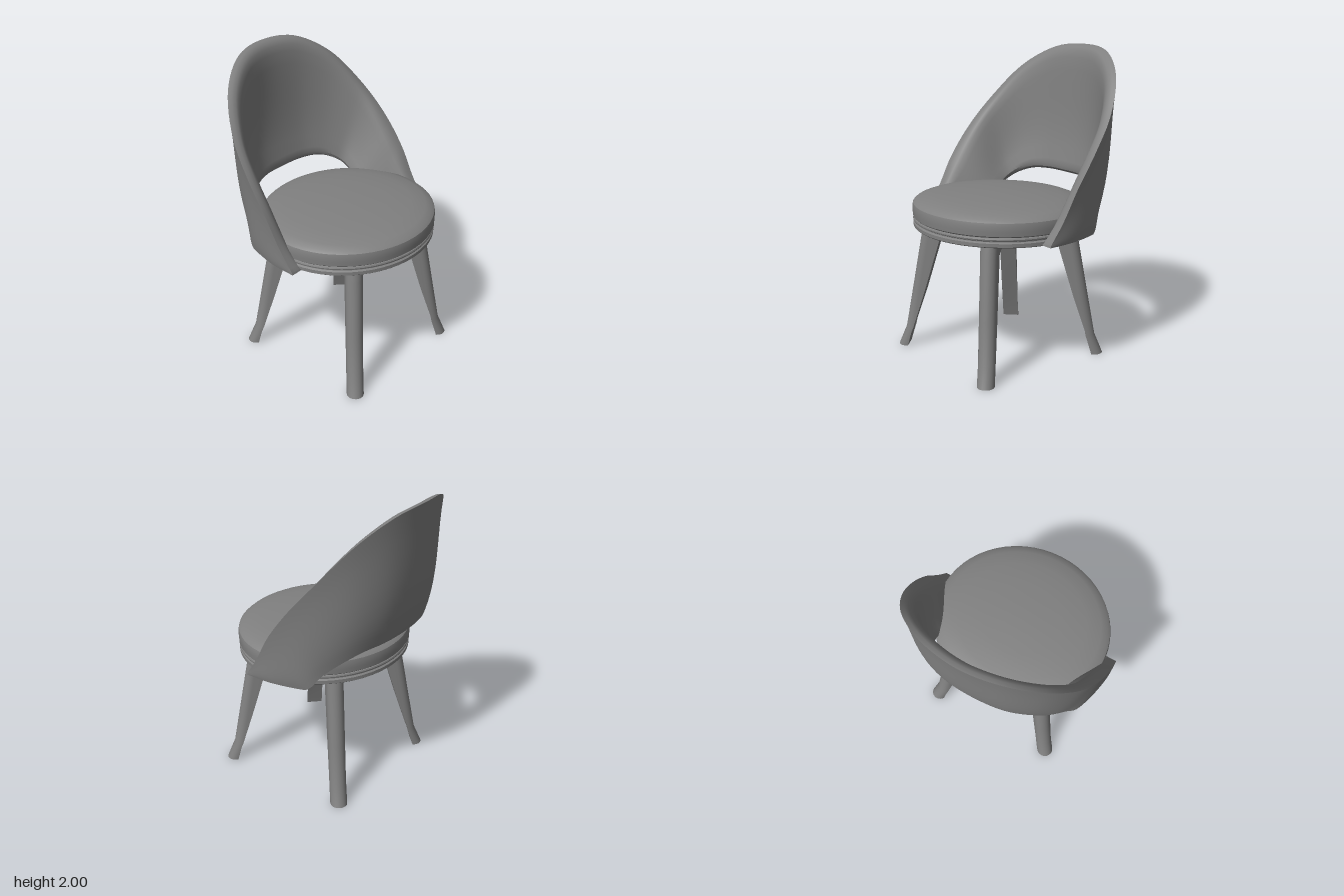
import * as THREE from 'three';
import { toCreasedNormals } from 'three/addons/utils/BufferGeometryUtils.js';

const material = new THREE.MeshStandardMaterial({ color: 0x808080 });
const SEAT_Z = 0.09;
const SHELL_BOTTOM = 0.87;

function addMesh(parent, name, geometry) {
  const mesh = new THREE.Mesh(geometry, material);
  mesh.name = name;
  parent.add(mesh);
  return mesh;
}

// Skin a row of closed loops (counter-clockwise about the direction of travel) and cap both ends
function loft(rings) {
  const n = rings[0].length;
  const last = rings.length - 1;
  const pos = [];
  const index = [];
  rings.forEach((ring) => ring.forEach((p) => pos.push(p.x, p.y, p.z)));
  for (let i = 0; i < last; i++) {
    for (let j = 0; j < n; j++) {
      const a = i * n + j;
      const b = i * n + ((j + 1) % n);
      index.push(a, b, b + n, a, b + n, a + n);
    }
  }
  for (const i of [0, last]) {
    const c = new THREE.Vector3();
    rings[i].forEach((p) => c.addScaledVector(p, 1 / n));
    const centre = pos.length / 3;
    pos.push(c.x, c.y, c.z);
    for (let j = 0; j < n; j++) {
      const a = i * n + j;
      const b = i * n + ((j + 1) % n);
      index.push(centre, i ? a : b, i ? b : a);
    }
  }
  const geometry = new THREE.BufferGeometry();
  geometry.setAttribute('position', new THREE.Float32BufferAttribute(pos, 3));
  geometry.setIndex(index);
  return toCreasedNormals(geometry, 0.6);
}

// Smooth curve through half a path, starting at the centre of the back, and its mirror image
function mirroredCurve(half) {
  const right = half.slice(1).reverse().map(([x, y, z]) => new THREE.Vector3(-x, y, z));
  const left = half.map((p) => new THREE.Vector3(...p));
  return new THREE.CatmullRomCurve3([...right, ...left]);
}

// Wraparound backrest: a padded shell between its upper rim and its lower edge
function backrestGeometry() {
  const rim = mirroredCurve([
    [0, 2, -0.642], [0.252, 1.971, -0.6], [0.468, 1.838, -0.481], [0.607, 1.615, -0.31],
    [0.66, 1.41, -0.142], [0.67, 1.2, 0.01], [0.664, 1.02, 0.11], [0.655, 0.885, 0.2],
  ]);
  const edge = mirroredCurve([
    [0, 1.128, -0.53], [0.2, 1.127, -0.515], [0.34, 1.115, -0.468], [0.45, 1.065, -0.395],
    [0.53, 0.975, -0.295], [0.585, 0.87, -0.205], [0.645, 0.87, 0.02], [0.655, 0.87, 0.205],
  ]);
  // Section: [height fraction, depth below the outer face], up the outside, over the
  // rounded rim, down the inside and out again under the rounded lower lip
  const section = [];
  for (let j = 0; j <= 10; j++) section.push([j / 10, 0]);
  section.push([0.996, 0.025], [0.98, 0.047], [0.95, 0.06]);
  for (let j = 9; j >= 1; j--) section.push([j / 10, 0.084 - 0.0018 * j]);
  section.push([0.06, 0.08], [0.03, 0.066], [0.01, 0.04]);

  const rings = [];
  const columns = 84;
  for (let i = 0; i <= columns; i++) {
    const top = rim.getPoint(i / columns);
    const bottom = edge.getPoint(i / columns);
    bottom.y = Math.max(bottom.y, SHELL_BOTTOM);
    const bulge = 0.035 * (top.y - bottom.y);
    // The padding thickens low down on each side, where it meets the cushion
    const station = Math.abs((2 * i) / columns - 1) * 7;
    const padding = station > 3 ? 1.2 * Math.sin(((station - 3) / 4) * Math.PI) ** 2 : 0;
    rings.push(section.map(([v, depth]) => {
      const p = bottom.clone().lerp(top, v);
      const out = new THREE.Vector3(p.x, 0, Math.min(p.z, 0)).normalize();
      const thickness = depth * (1 + padding * (1 - v * v));
      return p.addScaledVector(out, bulge * 6.75 * v * (1 - v) ** 2 - thickness);
    }));
  }
  return loft(rings);
}

// Leg, flat inside and rounded outside, kicking out at the foot; it leans out along +z
function legGeometry() {
  const w = 0.055;
  const stations = [
    [0, 0.622, 0.691], [0.13, 0.587, 0.637], [0.4, 0.496, 0.588],
    [0.78, 0.383, 0.52], [0.868, 0.36, 0.503],
  ];
  return loft(stations.map(([y, inner, outer]) => {
    const ring = [];
    for (let k = 0; k <= 12; k++) {
      const a = -Math.PI / 2 + (k / 12) * Math.PI;
      ring.push(new THREE.Vector3(w * Math.sin(a), y, outer - w + w * Math.cos(a)));
    }
    ring.push(new THREE.Vector3(w, y, inner), new THREE.Vector3(-w, y, inner));
    return ring;
  }));
}

// Slightly oval turned part of the seat
function addTurned(parent, name, profile) {
  const points = profile.map(([r, y]) => new THREE.Vector2(r, y));
  const mesh = addMesh(parent, name, toCreasedNormals(new THREE.LatheGeometry(points, 56), 0.6));
  mesh.scale.x = 1.078;
  mesh.position.z = SEAT_Z;
}

export function createModel() {
  const chair = new THREE.Group();
  chair.name = 'chair';

  addMesh(chair, 'backrest', backrestGeometry());

  // Seat: board, grooved band and domed cushion
  addTurned(chair, 'seatBase', [
    [0, 0.862], [0.54, 0.864], [0.547, 0.87], [0.547, 0.892], [0.536, 0.899],
    [0.536, 0.903], [0.547, 0.909], [0.549, 0.917], [0.546, 0.925], [0.536, 0.93], [0, 0.93],
  ]);
  addTurned(chair, 'seatCushion', [
    [0, 0.928], [0.54, 0.928], [0.549, 0.936], [0.551, 0.965], [0.551, 1], [0.547, 1.018],
    [0.53, 1.033], [0.49, 1.049], [0.4, 1.066], [0.25, 1.079], [0.1, 1.085], [0, 1.086],
  ]);

  // Four legs on crossed diagonal rails
  const base = new THREE.Group();
  base.name = 'base';
  base.position.z = SEAT_Z;
  chair.add(base);
  const leg = legGeometry();
  for (let k = 0; k < 4; k++) {
    addMesh(base, 'leg', leg).rotation.y = Math.PI / 4 + (k * Math.PI) / 2;
  }
  for (const side of [-1, 1]) {
    const rail = addMesh(base, 'crossRail', new THREE.BoxGeometry(0.108, 0.09, 0.8));
    rail.position.y = 0.822;
    rail.rotation.y = (side * Math.PI) / 4;
  }
  return chair;
}
